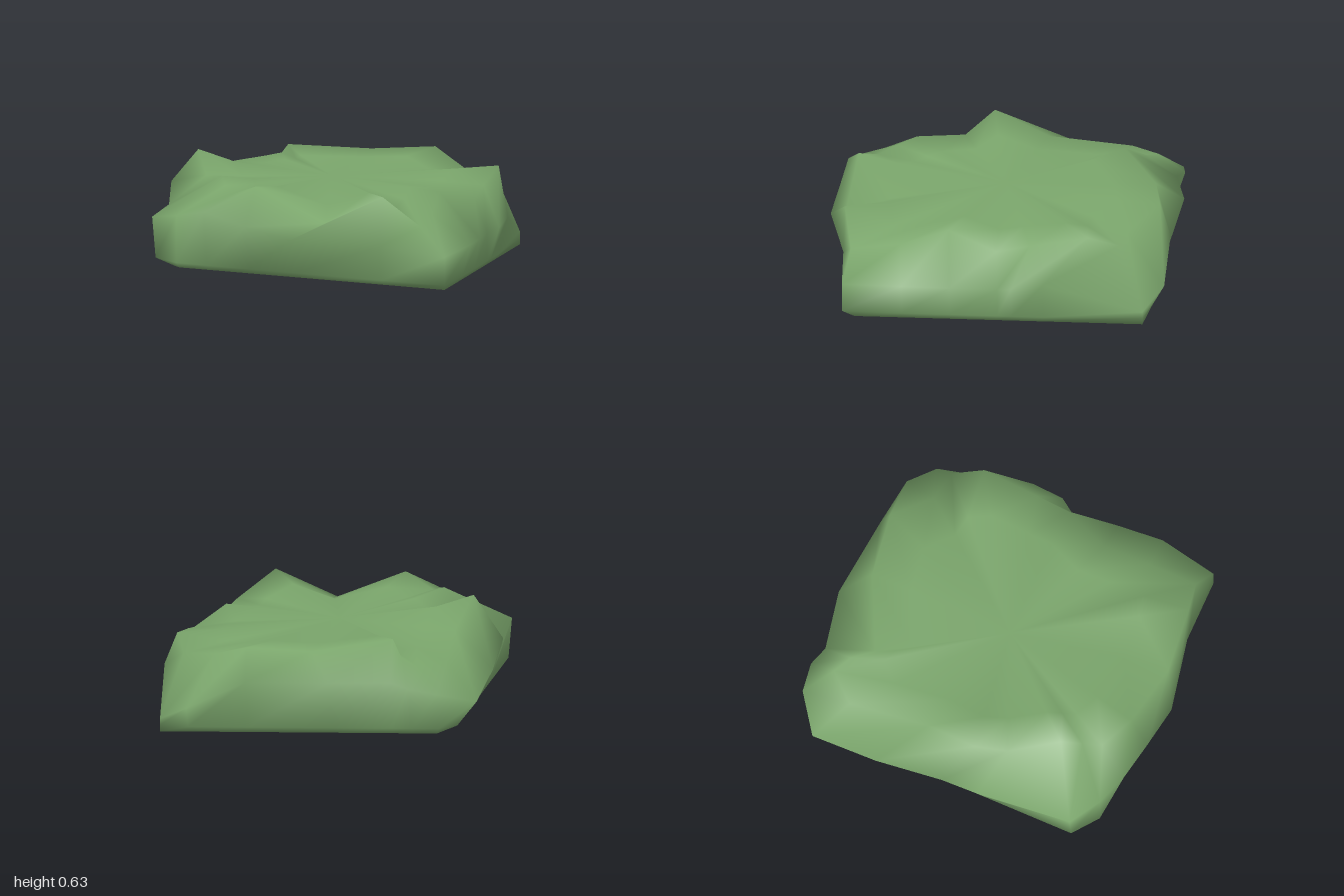
import * as THREE from 'three';

// Columns around the slab: [widest x, z, y,  top rim x, z, y]
const COLUMNS = [
  [0.89, 0.86, 0.20, 0.74, 0.82, 0.36],
  [0.52, 0.88, 0.25, 0.53, 0.87, 0.53],
  [0.02, 0.99, 0.28, 0.20, 0.89, 0.37],
  [-0.25, 0.96, 0.34, -0.22, 0.85, 0.555],
  [-0.50, 0.93, 0.41, -0.40, 0.75, 0.48],
  [-0.68, 0.86, 0.37, -0.45, 0.65, 0.52],
  [-0.85, 0.75, 0.34, -0.50, 0.54, 0.555],
  [-0.90, 0.20, 0.32, -0.66, 0.28, 0.51],
  [-0.94, 0.00, 0.42, -0.75, 0.12, 0.63],
  [-0.96, -0.40, 0.34, -0.70, -0.19, 0.50],
  [-0.94, -0.80, 0.25, -0.74, -0.66, 0.44],
  [-0.74, -0.95, 0.32, -0.60, -0.82, 0.45],
  [-0.58, -0.97, 0.35, -0.50, -0.76, 0.48],
  [-0.47, -0.93, 0.37, -0.43, -0.64, 0.55],
  [-0.13, -1.00, 0.37, 0.00, -0.85, 0.51],
  [0.36, -0.96, 0.34, 0.36, -0.90, 0.53],
  [0.70, -0.95, 0.17, 0.58, -0.73, 0.44],
  [0.87, -0.84, 0.075, 0.76, -0.70, 0.43],
  [0.95, -0.28, 0.25, 0.83, -0.53, 0.50],
  [0.95, -0.10, 0.22, 0.83, -0.20, 0.44],
  [0.90, -0.02, 0.20, 0.83, -0.01, 0.40],
  [0.93, 0.25, 0.21, 0.70, 0.27, 0.47],
  [0.95, 0.52, 0.22, 0.73, 0.54, 0.39],
];

const { clamp } = THREE.MathUtils;

// The underside tilts gently down towards +x
const baseHeight = (x) => 0.036 - 0.04 * x;

// Point of a blocky footprint, limited on each side
function footprint(x, z, [left, right, back, front], lift) {
  const bx = clamp(x, left, right);
  return [bx, baseHeight(bx) + lift, clamp(z, back, front)];
}

// Cross-sections from the underside up to the inner top
const SECTIONS = [
  ([x, z]) => footprint(x, z, [-0.72, 0.87, -0.84, 0.79], 0),
  ([x, z]) => footprint(x, z, [-0.83, 0.9, -0.88, 0.865], 0.038),
  ([x, z, y]) => [x, y, z],
  ([, , , x, z, y]) => [x, y, z],
  ([, , , x, z, y]) => [x * 0.72, 0.49 + (y - 0.49) * 0.5, z * 0.72],
];

function slabGeometry() {
  const n = COLUMNS.length;
  const positions = SECTIONS.flatMap((section) => COLUMNS.flatMap((c) => section(c)));
  const bottom = SECTIONS.length * n;
  const top = bottom + 1;
  positions.push(0, baseHeight(0), 0, 0, 0.49, 0);

  const index = [];
  const last = (SECTIONS.length - 1) * n;
  for (let i = 0; i < n; i++) {
    const j = (i + 1) % n;
    for (let s = 0; s < last; s += n) {
      index.push(s + j, s + i, s + n + i, s + j, s + n + i, s + n + j);
    }
    index.push(bottom, i, j); // underside
    index.push(top, last + j, last + i); // top
  }

  const geometry = new THREE.BufferGeometry();
  geometry.setAttribute('position', new THREE.Float32BufferAttribute(positions, 3));
  geometry.setIndex(index);
  geometry.computeVertexNormals();
  return geometry;
}

export function createModel() {
  const group = new THREE.Group();
  group.name = 'mossyRock';

  const mossGreen = new THREE.MeshStandardMaterial({ color: 0x7aa56b });
  mossGreen.name = 'mossGreen';

  const slab = new THREE.Mesh(slabGeometry(), mossGreen);
  slab.name = 'rockSlab';
  group.add(slab);
  return group;
}
